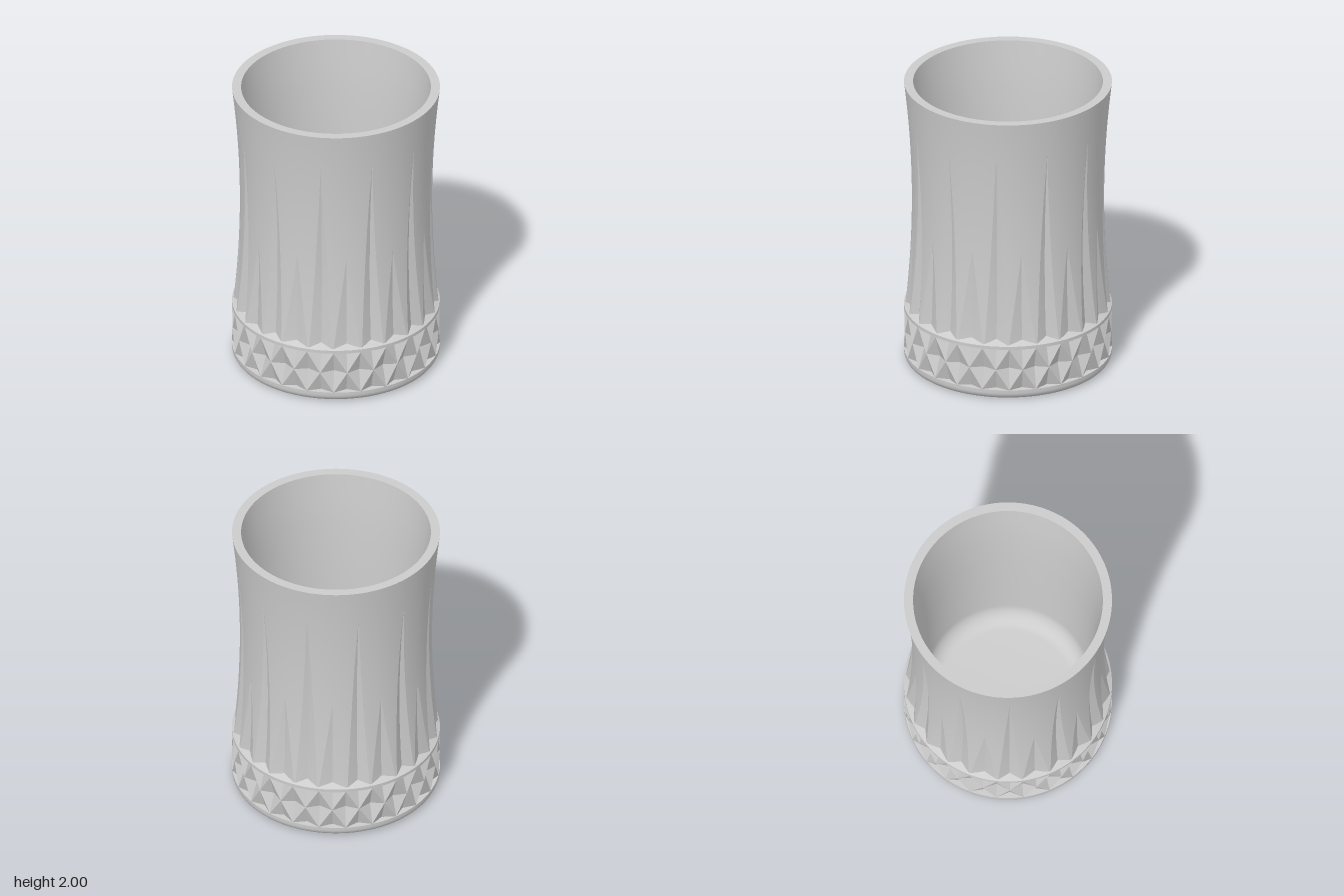
import * as THREE from 'three';
import { toCreasedNormals } from 'three/addons/utils/BufferGeometryUtils.js';

const SECTORS = 24;
const HALF = Math.PI / SECTORS;

// Mesh from rows of [angle, radius, y]; ridge(i, j) picks the quad diagonal
function gridGeometry(rows, ridge) {
  const cols = rows[0].length;
  const pos = [], index = [];
  for (const row of rows) {
    for (const [a, r, y] of row) pos.push(r * Math.sin(a), y, r * Math.cos(a));
  }
  for (let j = 0; j < rows.length - 1; j++) {
    for (let i = 0; i < cols; i++) {
      const n = (i + 1) % cols;
      const a = j * cols + i, b = j * cols + n;
      const c = b + cols, d = a + cols;
      if (ridge(i, j)) index.push(a, b, c, a, c, d);
      else index.push(a, b, d, b, c, d);
    }
  }
  const geo = new THREE.BufferGeometry();
  geo.setAttribute('position', new THREE.Float32BufferAttribute(pos, 3));
  geo.setIndex(index);
  return geo;
}

function lathe(points, crease) {
  const geo = new THREE.LatheGeometry(points.map(([x, y]) => new THREE.Vector2(x, y)), 128);
  return toCreasedNormals(geo, crease);
}

// Waisted outer wall with alternating tall and short V-shaped flutes
function flutedWall() {
  const bodyRadius = y => 0.633 + 0.052 * ((y - 1.15) / 0.85) ** 2;
  const rows = [];
  for (let j = 0; j <= 33; j++) {
    const y = 0.35 + j * 0.05;
    const R = bodyRadius(y);
    const row = [];
    for (let s = 0; s < SECTORS; s++) {
      const tall = s % 2 === 0;
      const apex = tall ? 1.75 : 1.05;
      const t = Math.min(1, Math.max(0, (apex - y) / (apex - 0.4)));
      const w = t * (tall ? 0.85 : 1);
      const depth = t * (tall ? 0.038 : 0.032);
      // Columns of one sector: left land, flute, right land
      for (let k = -5; k < 5; k++) {
        const m = Math.abs(k);
        const f = m <= 2 ? w * m / 2 : w + (1 - w) * (m - 2) / 3;
        const r = m <= 2 ? R - depth * (1 - m / 2) : R;
        row.push([(2 * s + Math.sign(k) * f) * HALF, r, y]);
      }
    }
    rows.push(row);
  }
  return toCreasedNormals(gridGeometry(rows, () => true), 0.16);
}

// Band of cut facets: peaks and hollows alternate like a checkerboard
function facetBand() {
  const isPeak = (i, j) => (i + j) % 2 === 1;
  const rows = [0.07, 0.215, 0.365].map((y, j) =>
    Array.from({ length: 2 * SECTORS }, (_, i) => [i * HALF, isPeak(i, j) ? 0.685 : 0.64, y]));
  const geo = gridGeometry(rows, isPeak).toNonIndexed();
  geo.computeVertexNormals();
  return geo;
}

export function createModel() {
  const group = new THREE.Group();
  const material = new THREE.MeshStandardMaterial({ color: 0xcccccc });
  const add = (name, geo) => {
    const mesh = new THREE.Mesh(geo, material);
    mesh.name = name;
    group.add(mesh);
  };

  add('flutedWall', flutedWall());
  add('facetBand', facetBand());

  // Rounded foot with a shallow hollow underneath
  const foot = [[0, 0.03], [0.48, 0.03], [0.52, 0.022], [0.555, 0.006], [0.575, 0], [0.635, 0]];
  for (let i = 1; i <= 8; i++) {
    const a = i / 8 * Math.PI / 2;
    foot.push([0.635 + 0.05 * Math.sin(a), 0.05 - 0.05 * Math.cos(a)]);
  }
  foot.push([0.685, 0.07], [0.62, 0.07]);
  add('foot', lathe(foot, 0.6));

  // Collar between the facets and the flutes
  add('collar', lathe([[0.62, 0.365], [0.685, 0.365], [0.685, 0.387], [0.61, 0.435]], 0.4));

  // Flat rim, tapering inner wall and rounded floor
  const wall = new THREE.SplineCurve([
    [0.625, 2], [0.592, 1.7], [0.57, 1.35], [0.558, 1], [0.55, 0.65], [0.545, 0.4],
  ].map(p => new THREE.Vector2(...p))).getPoints(24).map(p => [p.x, p.y]);
  const inside = [[0.685, 2], ...wall];
  for (let i = 1; i <= 10; i++) {
    const a = i / 10 * Math.PI / 2;
    inside.push([0.425 + 0.12 * Math.cos(a), 0.4 - 0.15 * Math.sin(a)]);
  }
  inside.push([0, 0.25]);
  add('rimAndInside', lathe(inside, 0.6));

  return group;
}
